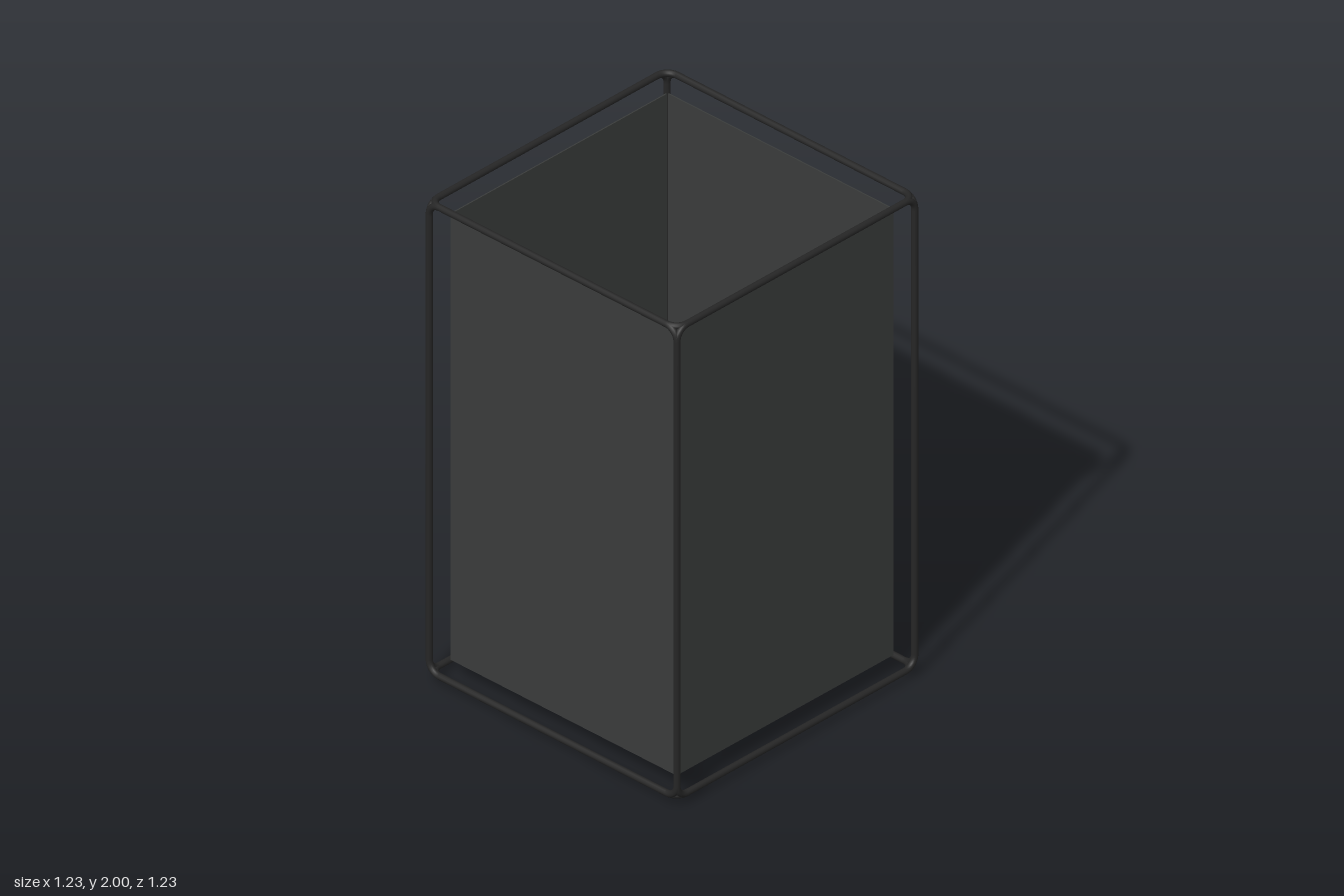
import * as THREE from 'three';

const dark = new THREE.MeshStandardMaterial({ color: 0x262626 });
const panelMat = new THREE.MeshStandardMaterial({ color: 0x3a3c3b });
const grey = new THREE.MeshStandardMaterial({ color: 0xcccccc });

const HALF = 0.604;            // bar centre line in x and z
const BOTTOM = 0.037, TOP = 1.987;
const BAR = 0.013, CORNER = 0.05;

function add(parent, name, geometry, material) {
  const mesh = new THREE.Mesh(geometry, material);
  mesh.name = name;
  parent.add(mesh);
  return mesh;
}

// Closed round bar following a rounded rectangle in the XY plane
function loopGeometry(width, height) {
  const w = width / 2, h = height / 2, r = CORNER;
  const path = new THREE.CurvePath();
  const corners = [[1, 1], [-1, 1], [-1, -1], [1, -1]];
  const at = (x, y) => new THREE.Vector3(x, y, 0);
  const points = [];
  corners.forEach(([sx, sy], i) => {
    for (let k = 0; k <= 8; k++) {
      const a = (i + k / 8) * Math.PI / 2;
      points.push(at(sx * (w - r) + r * Math.cos(a), sy * (h - r) + r * Math.sin(a)));
    }
  });
  // straight segments between fine corner steps, sampled at every corner point
  points.forEach((p, i) => path.add(new THREE.LineCurve3(p, points[(i + 1) % points.length])));
  const n = points.length;
  path.getPointAt = (u) => path.curves[Math.floor(u * n + 1e-6) % n].v1.clone();
  path.getTangentAt = (u) => {
    const i = Math.floor(u * n + 1e-6) % n;
    const a = path.curves[(i + n - 1) % n], b = path.curves[i];
    return a.v2.clone().sub(a.v1).normalize().add(b.v2.clone().sub(b.v1).normalize()).normalize();
  };
  return new THREE.TubeGeometry(path, n, BAR, 12, true);
}

export function createModel() {
  const model = new THREE.Group();
  model.name = 'lantern';
  const midY = (TOP + BOTTOM) / 2;

  // Frame: one rounded loop on each face of the box
  const frame = new THREE.Group();
  frame.name = 'frame';
  model.add(frame);
  const sideLoop = loopGeometry(2 * HALF, TOP - BOTTOM);
  const flatLoop = loopGeometry(2 * HALF, 2 * HALF);
  ['front', 'left', 'back', 'right'].forEach((side, i) => {
    const a = i * Math.PI / 2;
    const loop = add(frame, side + 'FrameLoop', sideLoop, dark);
    loop.position.set(Math.sin(a) * HALF, midY, Math.cos(a) * HALF);
    loop.rotation.y = a;

    // Thin panel set just inside the loop
    const panel = add(model, side + 'Panel', new THREE.BoxGeometry(1.095, 1.85, 0.005), panelMat);
    panel.position.set(Math.sin(a) * 0.553, 1.012, Math.cos(a) * 0.553);
    panel.rotation.y = a;
  });
  [['top', TOP], ['bottom', BOTTOM]].forEach(([name, y]) => {
    const loop = add(frame, name + 'FrameLoop', flatLoop, dark);
    loop.rotation.x = Math.PI / 2;
    loop.position.y = y;
  });

  // Round base: grey disc, dark trim ring above and dark pad below
  add(model, 'baseDisc', new THREE.CylinderGeometry(0.23, 0.23, 0.016, 64), grey).position.y = 0.011;
  const ring = add(model, 'baseRing', new THREE.TorusGeometry(0.223, 0.005, 8, 64), dark);
  ring.rotation.x = Math.PI / 2;
  ring.position.y = 0.019;
  add(model, 'basePad', new THREE.CylinderGeometry(0.228, 0.228, 0.004, 64), dark).position.y = 0.002;

  return model;
}
